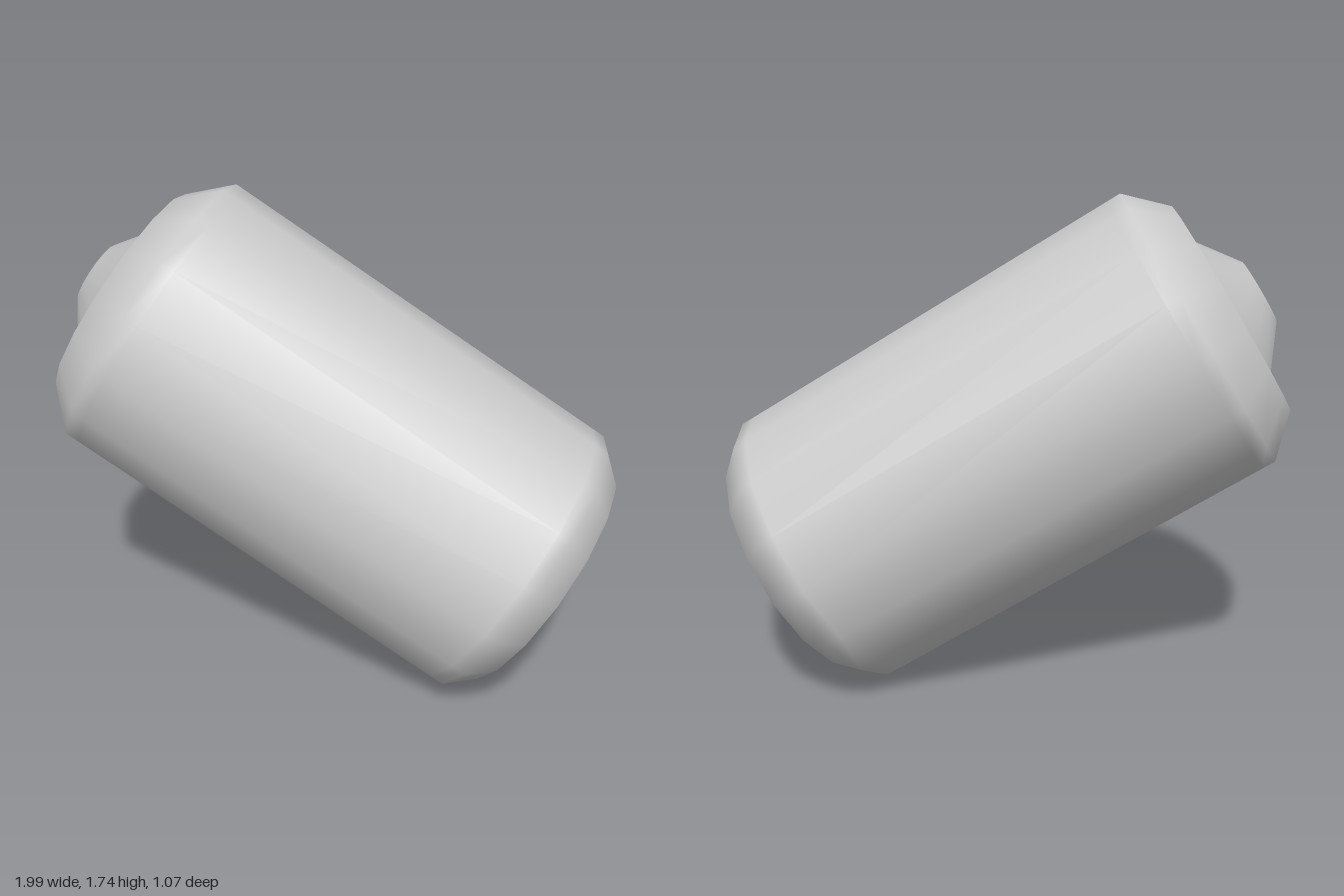
import * as THREE from 'three';

export function createModel() {
  const model = new THREE.Group();
  const material = new THREE.MeshStandardMaterial({ color: 0xcccccc });

  // Profile as [radius, height along the axis], from the flat base to the knob
  const profile = [
    [0, -0.888], [0.42, -0.888], [0.453, -0.888], // flat base
    [0.536, -0.79], [0.536, -0.74], [0.536, 0.74], [0.536, 0.79], // straight wall
    [0.407, 0.92], [0.27, 0.922], // shoulder and end face
    [0.118, 1.032], [0, 1.032], // raised knob
  ].map(([r, y]) => new THREE.Vector2(r, y));

  // Sixteen-sided canister, smooth shaded
  const canister = new THREE.Mesh(new THREE.LatheGeometry(profile, 16), material);
  canister.name = 'canister';

  // Lean the axis over so the knob points up to the right-hand side (-x)
  const tilted = new THREE.Group();
  tilted.name = 'tiltedCanister';
  tilted.rotation.z = 1.02;
  tilted.position.set(-0.004, 0.875, 0);
  tilted.add(canister);

  model.add(tilted);
  return model;
}
